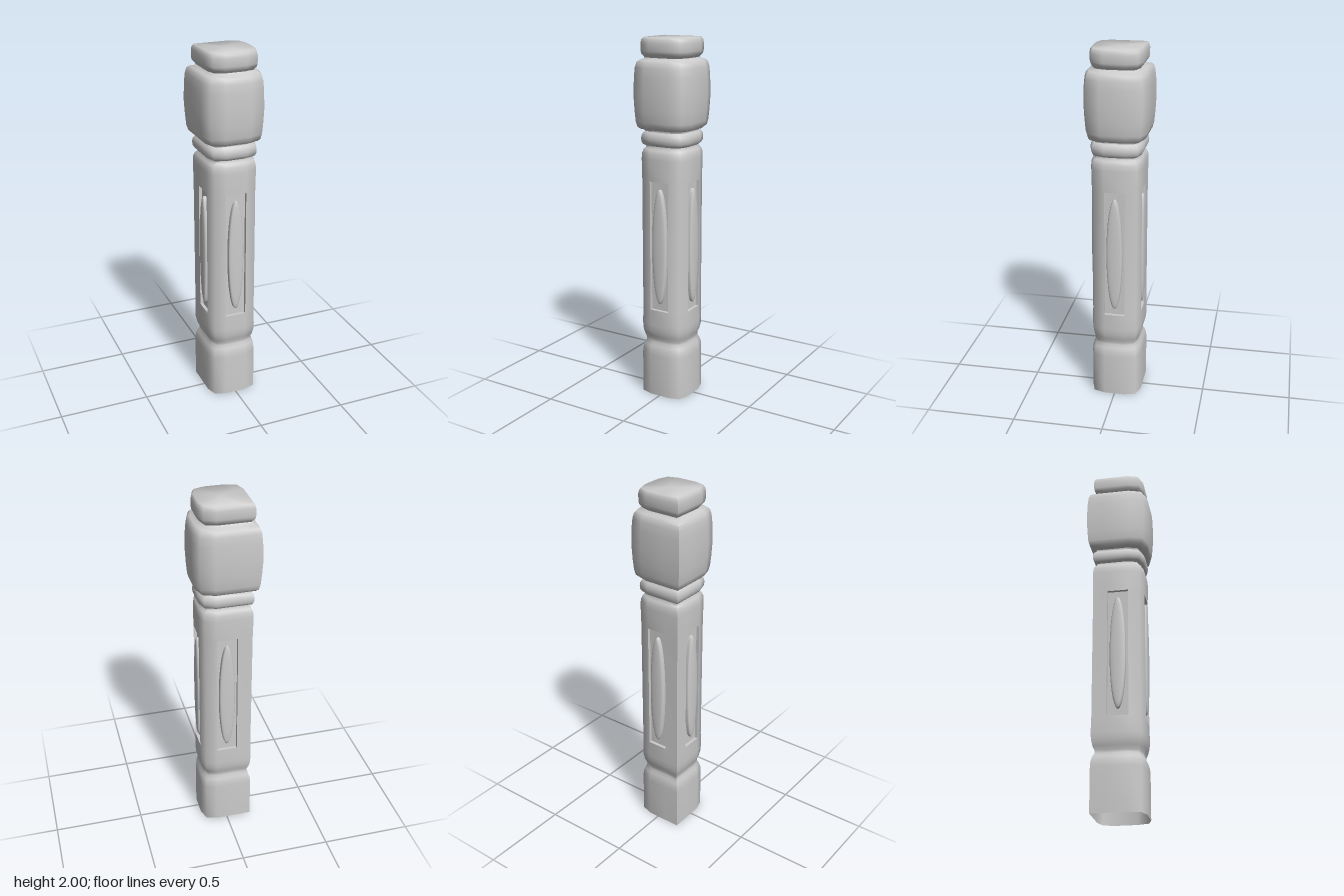
import * as THREE from 'three';
import { toCreasedNormals } from 'three/addons/utils/BufferGeometryUtils.js';

const material = new THREE.MeshStandardMaterial({ color: 0xcccccc, side: THREE.DoubleSide });

// Cross-section at half width 1, from +x towards +z: three eased corners, one square corner
const F = 0.42, C = 0.86;
const section = [
  [1, -F], [1, F], [C, C], [F, 1], [-F, 1], [-C, C],
  [-1, F], [-1, -F], [-1, -1], [-F, -1], [F, -1], [C, -C],
];
const flats = [0, 3, 6, 9]; // first point of each flat side

// Carved panel limits and body half width there
const BODY = 0.138, LOW = 0.51, HIGH = 1.24, DEPTH = 0.018;

// Turned outline: [half width, height]
const profile = [
  [0.141, 0], [0.141, 0.24], [0.139, 0.27], [0.132, 0.295], [0.122, 0.315], [0.122, 0.33],
  [0.131, 0.352], [0.138, 0.385], [0.14, 0.42], [BODY, LOW], [BODY, HIGH],
  [0.14, 1.36], [0.138, 1.39], [0.131, 1.41], [0.121, 1.42], [0.12, 1.43],
  [0.133, 1.437], [0.14, 1.45], [0.142, 1.468], [0.14, 1.487], [0.132, 1.5],
  [0.124, 1.508], [0.126, 1.516], [0.145, 1.52], [0.158, 1.532], [0.165, 1.56],
  [0.17, 1.62], [0.174, 1.7], [0.171, 1.8], [0.167, 1.845], [0.16, 1.872],
  [0.148, 1.884], [0.13, 1.888], [0.123, 1.896], [0.128, 1.904], [0.137, 1.914],
  [0.141, 1.93], [0.141, 1.972], [0.137, 1.99], [0.13, 2],
];

function postGeometry() {
  const n = section.length, positions = [], index = [];
  for (const [w, y] of profile) for (const [x, z] of section) positions.push(x * w, y, z * w);
  for (let i = 0; i < profile.length - 1; i++) {
    for (let j = 0; j < n; j++) {
      // leave openings for the panels
      if (profile[i][1] === LOW && flats.includes(j)) continue;
      const a = i * n + j, b = i * n + (j + 1) % n;
      index.push(a, a + n, b + n, a, b + n, b);
    }
  }
  // top cap as a fan
  const rim = (profile.length - 1) * n;
  positions.push(0, 2, 0);
  for (let j = 0; j < n; j++) index.push(rim + n, rim + (j + 1) % n, rim + j);
  const geometry = new THREE.BufferGeometry();
  geometry.setAttribute('position', new THREE.Float32BufferAttribute(positions, 3));
  geometry.setIndex(index);
  return toCreasedNormals(geometry.toNonIndexed(), THREE.MathUtils.degToRad(62));
}

function addMesh(parent, name, geometry, x = 0, y = 0, z = 0) {
  const mesh = new THREE.Mesh(geometry, material);
  mesh.name = name;
  mesh.position.set(x, y, z);
  parent.add(mesh);
  return mesh;
}

// Sunken panel with a raised oval, facing +z
function makePanel() {
  const panel = new THREE.Group();
  panel.name = 'carvedPanel';
  const half = BODY * F, height = HIGH - LOW, mid = (LOW + HIGH) / 2;
  addMesh(panel, 'panelFloor', new THREE.PlaneGeometry(half * 2, height), 0, mid, BODY - DEPTH);
  for (const s of [-1, 1]) {
    const side = addMesh(panel, 'panelSide', new THREE.PlaneGeometry(DEPTH, height), s * half, mid, BODY - DEPTH / 2);
    side.rotation.y = -s * Math.PI / 2;
    const end = addMesh(panel, 'panelEnd', new THREE.PlaneGeometry(half * 2, DEPTH), 0, mid + s * height / 2, BODY - DEPTH / 2);
    end.rotation.x = s * Math.PI / 2;
  }
  // pillow-shaped oval
  const dome = [[1, 0], [1, 0.5], [0.97, 0.68], [0.9, 0.8], [0.75, 0.89], [0.5, 0.96], [0.25, 0.99], [0, 1]];
  const geometry = new THREE.LatheGeometry(dome.map(([r, h]) => new THREE.Vector2(r, h)), 48);
  geometry.rotateX(Math.PI / 2);
  geometry.scale(0.044, 0.325, 0.029);
  addMesh(panel, 'raisedOval', geometry, 0, mid, BODY - DEPTH);
  return panel;
}

export function createModel() {
  const model = new THREE.Group();
  model.name = 'turnedPost';
  addMesh(model, 'post', postGeometry());
  for (let i = 0; i < 4; i++) {
    const panel = makePanel();
    panel.rotation.y = i * Math.PI / 2;
    model.add(panel);
  }
  return model;
}
